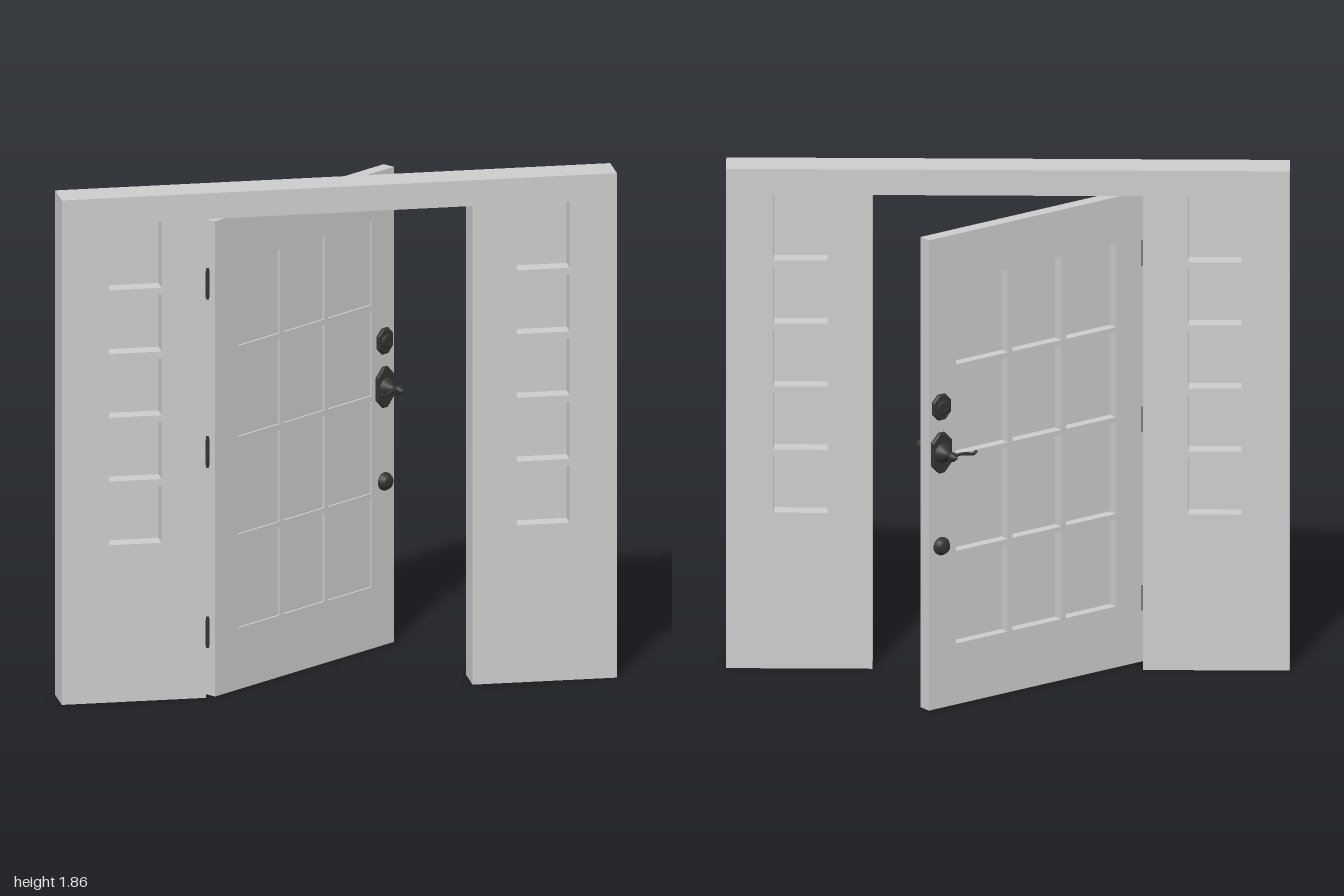
import * as THREE from 'three';

const grey = new THREE.MeshStandardMaterial({ color: 0xcccccc });
const dark = new THREE.MeshStandardMaterial({ color: 0x333333 });

function add(parent, name, geometry, material, x = 0, y = 0, z = 0) {
  const mesh = new THREE.Mesh(geometry, material);
  mesh.name = name;
  mesh.position.set(x, y, z);
  parent.add(mesh);
  return mesh;
}

function rectHole(x0, x1, y0, y1) {
  return new THREE.Path([[x0, y0], [x1, y0], [x1, y1], [x0, y1]].map(p => new THREE.Vector2(...p)));
}

function polygon(points) {
  return new THREE.Shape(points.map(p => new THREE.Vector2(...p)));
}

// Turned part with its axis along +z; profile is [radius, distance from the door]
function turned(profile, sides = 24) {
  return new THREE.LatheGeometry(profile.map(p => new THREE.Vector2(...p)), sides).rotateX(Math.PI / 2);
}

// Bevelled plate with clipped corners, lying on z = 0
function plate(w, h, clip) {
  const x = w / 2 - 0.005, y = h / 2 - 0.005;
  const shape = polygon([[-x, -y + clip], [-x + clip, -y], [x - clip, -y], [x, -y + clip],
    [x, y - clip], [x - clip, y], [-x + clip, y], [-x, y - clip]]);
  return new THREE.ExtrudeGeometry(shape, {
    depth: 0.006, bevelEnabled: true, bevelSize: 0.005, bevelThickness: 0.005, bevelSegments: 1
  });
}

function buildWall() {
  const wall = new THREE.Group();
  wall.name = 'wall';
  const shape = polygon([[-1, 0], [-0.48, 0], [-0.48, 1.765], [0.48, 1.765],
    [0.48, 0], [1, 0], [1, 1.86], [-1, 1.86]]);
  const rows = [[0.58, 0.79], [0.815, 1.025], [1.05, 1.26], [1.285, 1.495], [1.52, 1.765]];
  for (const side of [-1, 1]) {
    for (const [y0, y1] of rows) {
      const x0 = side * 0.735 - 0.095, x1 = side * 0.735 + 0.095;
      shape.holes.push(rectHole(x0, x1, y0, y1));
      add(wall, 'sideWindowPane', new THREE.BoxGeometry(0.19, y1 - y0, 0.006), grey,
        side * 0.735, (y0 + y1) / 2, 0.266);
    }
  }
  add(wall, 'wallPanel', new THREE.ExtrudeGeometry(shape, { depth: 0.133, bevelEnabled: false }),
    grey, 0, 0, 0.2);
  return wall;
}

// Deadbolt, lever handle and small lower lock; lever points along dir in x
function buildHardware(dir) {
  const set = new THREE.Group();
  set.name = 'doorHardware';

  add(set, 'deadboltPlate', plate(0.08, 0.095, 0.022), dark, 0, 1.125);
  add(set, 'deadboltCylinder', turned([[0.026, 0], [0.026, 0.016], [0.021, 0.022],
    [0.012, 0.022], [0.01, 0.019], [0, 0.019]]), dark, 0, 1.125);

  add(set, 'handlePlate', plate(0.09, 0.15, 0.03), dark, 0, 0.955);
  add(set, 'handleHub', turned([[0.036, 0.01], [0.036, 0.016], [0.028, 0.022], [0.022, 0.034],
    [0.013, 0.042], [0.011, 0.056], [0.017, 0.064], [0.017, 0.074], [0.01, 0.08],
    [0.006, 0.09], [0, 0.092]]), dark, 0, 0.955);
  const path = new THREE.CatmullRomCurve3([[0, 0, 0.07], [0.03, 0.006, 0.073],
    [0.06, 0.003, 0.077], [0.085, -0.002, 0.078], [0.097, 0.004, 0.078]]
    .map(([x, y, z]) => new THREE.Vector3(dir * x, y, z)));
  add(set, 'lever', new THREE.TubeGeometry(path, 20, 0.006, 8), dark, 0, 0.955);
  add(set, 'leverTip', new THREE.SphereGeometry(0.006, 10, 8), dark, dir * 0.097, 0.959, 0.078);

  add(set, 'lowerLock', turned([[0.033, 0], [0.033, 0.008], [0.027, 0.014], [0.025, 0.022],
    [0.019, 0.027], [0, 0.028]]), dark, 0, 0.607);
  return set;
}

function buildDoor() {
  const door = new THREE.Group();
  door.name = 'door';
  const shape = polygon([[0, 0.003], [0.95, 0.003], [0.95, 1.755], [0, 1.755]]);
  const columns = [[0.12, 0.342], [0.362, 0.58], [0.6, 0.83]];
  const rows = [[0.23, 0.555], [0.575, 0.915], [0.935, 1.25], [1.27, 1.58]];
  for (const [x0, x1] of columns) {
    for (const [y0, y1] of rows) {
      shape.holes.push(rectHole(x0, x1, y0, y1));
      // Panes sit close to the front face
      add(door, 'doorPane', new THREE.BoxGeometry(x1 - x0, y1 - y0, 0.005), grey,
        (x0 + x1) / 2, (y0 + y1) / 2, -0.011);
    }
  }
  add(door, 'doorPanel', new THREE.ExtrudeGeometry(shape, { depth: 0.05, bevelEnabled: false }),
    grey, 0, 0, -0.05);

  const front = buildHardware(-1);
  front.position.set(0.897, 0, 0);
  const back = buildHardware(1);
  back.position.set(0.897, 0, -0.05);
  back.rotation.y = Math.PI;
  door.add(front, back);

  // Swung open about the hinge edge
  door.position.set(-0.447, 0, 0.332);
  door.rotation.y = THREE.MathUtils.degToRad(37.9);
  return door;
}

function buildHinge(y) {
  const hinge = new THREE.Group();
  hinge.name = 'hinge';
  for (let i = 0; i < 3; i++) {
    add(hinge, 'hingeKnuckle', new THREE.CylinderGeometry(0.009, 0.009, 0.031, 12), dark, 0, (i - 1) * 0.033);
  }
  add(hinge, 'hingePin', new THREE.CylinderGeometry(0.006, 0.006, 0.114, 12), dark);
  add(hinge, 'hingeLeaf', new THREE.BoxGeometry(0.005, 0.095, 0.04), dark, 0, 0, -0.02);
  hinge.position.set(-0.475, y, 0.328);
  return hinge;
}

export function createModel() {
  const model = new THREE.Group();
  model.name = 'doorway';
  model.add(buildWall(), buildDoor());
  for (const y of [0.24, 0.905, 1.525]) model.add(buildHinge(y));
  return model;
}
